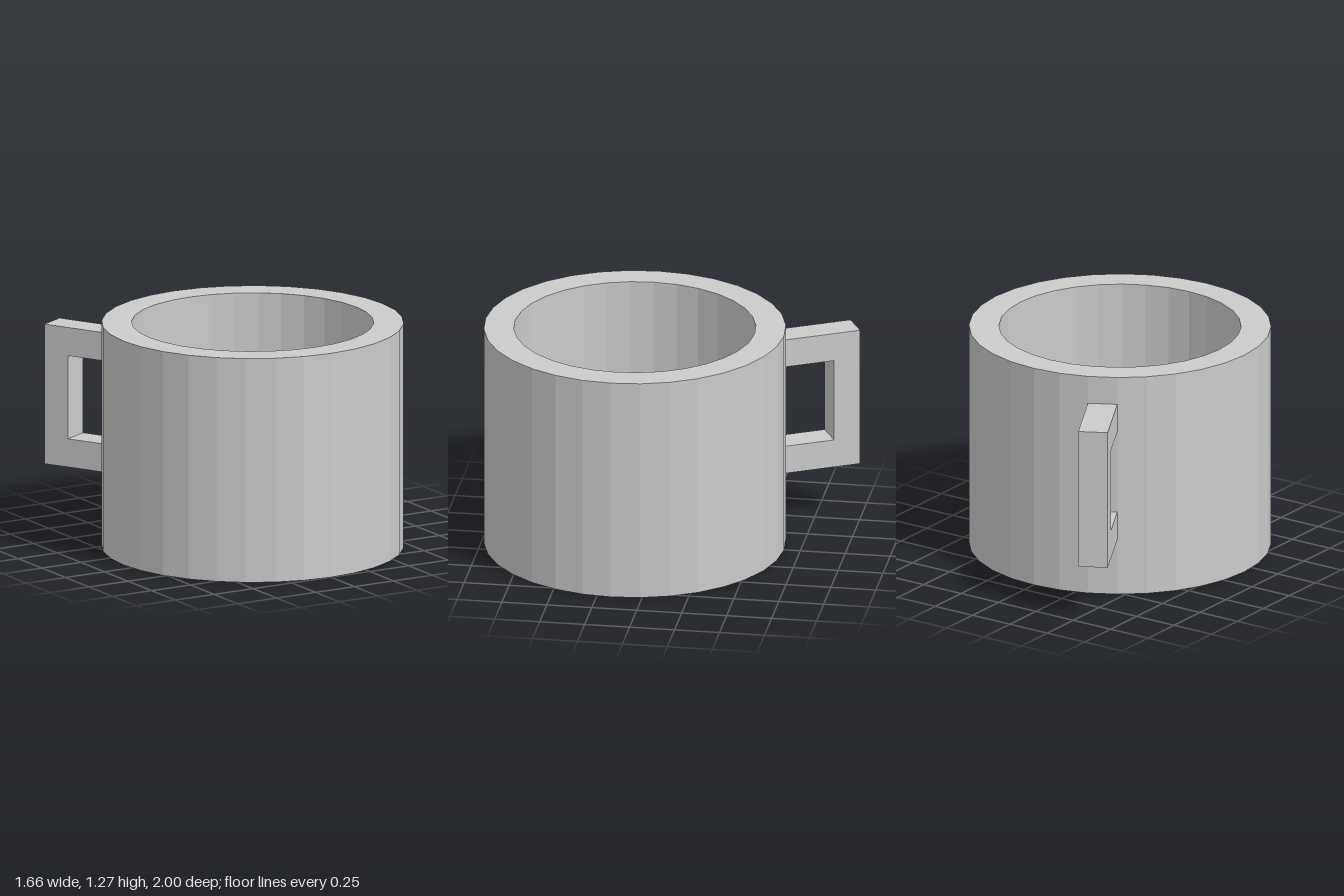
import * as THREE from 'three';

const SIDES = 32;
const RADIUS = 0.83, INNER = 0.665, HEIGHT = 1.267, FLOOR = 0.16;

export function createModel() {
  const group = new THREE.Group();
  group.name = 'mug';
  const material = new THREE.MeshStandardMaterial({ color: 0xcccccc, flatShading: true });

  // Hollow faceted cup: one profile for base, outer wall, rim, inner wall and floor
  const profile = [
    [0, 0], [RADIUS, 0], [RADIUS, HEIGHT], [INNER, HEIGHT], [INNER, FLOOR], [0, FLOOR],
  ].map(([r, y]) => new THREE.Vector2(r, y));
  const cup = new THREE.Mesh(new THREE.LatheGeometry(profile, SIDES), material);
  cup.name = 'cup';
  group.add(cup);

  // Square C-shaped handle, exactly as wide as the wall facet it grows from
  const step = (2 * Math.PI) / SIDES;
  const width = 2 * RADIUS * Math.sin(step / 2);
  const root = RADIUS * Math.cos(step / 2) - 0.01;
  const bracket = new THREE.Shape([
    [root, 0.32], [1.281, 0.32], [1.281, 1.11], [root, 1.11],
    [root, 0.95], [1.13, 0.95], [1.13, 0.48], [root, 0.48],
  ].map(([r, y]) => new THREE.Vector2(r, y)));
  const handleGeometry = new THREE.ExtrudeGeometry(bracket, { depth: width, bevelEnabled: false });
  handleGeometry.translate(0, 0, -width / 2);
  const handle = new THREE.Mesh(handleGeometry, material);
  handle.name = 'handle';
  handle.rotation.y = Math.PI / 2 + 2.5 * step; // third facet from the back, right side
  group.add(handle);

  // Shift forward so cup and handle together are centred
  group.children.forEach((part) => { part.position.z = 0.17; });
  return group;
}
